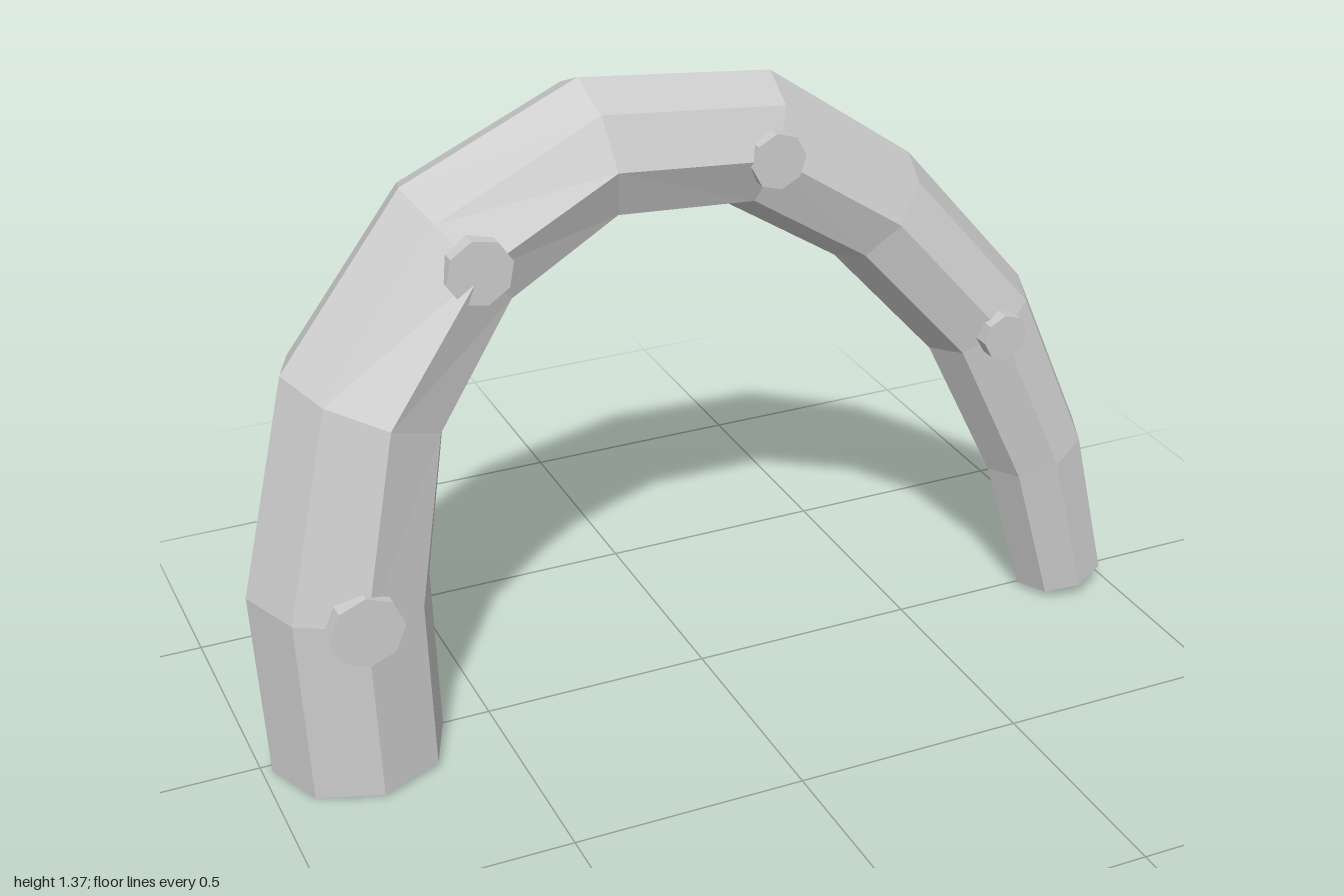
import * as THREE from 'three';

const SIDES = 8;

// Arch stations: outer x, outer y, inner x, inner y, centre z
const STATIONS = [
  [-0.98, 0.0, -0.61, 0.018, 0.022],
  [-1.0, 0.42, -0.62, 0.39, 0.02],
  [-0.89, 0.88, -0.565, 0.735, 0.0],
  [-0.62, 1.21, -0.41, 0.955, -0.037],
  [-0.24, 1.37, -0.195, 1.07, -0.06],
  [0.185, 1.32, 0.09, 1.045, -0.075],
  [0.5, 1.1, 0.33, 0.895, -0.052],
  [0.765, 0.785, 0.55, 0.65, -0.013],
  [0.915, 0.415, 0.7, 0.33, 0.015],
  [0.995, 0.06, 0.795, 0.012, 0.022],
];

// Studs on the front ridge: x, y, front z, radius, turn
const STUDS = [
  [-0.81, 0.402, 0.215, 0.078, 0],
  [-0.52, 1.08, 0.132, 0.07, 0.2],
  [0.135, 1.182, 0.077, 0.06, 0.1],
  [0.655, 0.715, 0.13, 0.052, 0.1],
];

// Tapered octagonal tube swept through the stations, closed at both ends
function archGeometry() {
  const centres = [];
  const rings = STATIONS.map(([ox, oy, ix, iy, cz]) => {
    const c = new THREE.Vector3((ox + ix) / 2, (oy + iy) / 2, cz);
    const out = new THREE.Vector3((ox - ix) / 2, (oy - iy) / 2, 0);
    const r = out.length();
    centres.push(c);
    return Array.from({ length: SIDES }, (_, j) => {
      const a = (j / SIDES) * Math.PI * 2;
      const p = c.clone().addScaledVector(out, Math.cos(a));
      p.z += r * Math.sin(a);
      return p;
    });
  });
  const pos = [];
  const tri = (...pts) => pts.forEach((p) => pos.push(p.x, p.y, p.z));
  const last = rings.length - 1;
  for (let j = 0; j < SIDES; j++) {
    const k = (j + 1) % SIDES;
    for (let i = 0; i < last; i++) {
      tri(rings[i][j], rings[i][k], rings[i + 1][k]);
      tri(rings[i][j], rings[i + 1][k], rings[i + 1][j]);
    }
    tri(centres[0], rings[0][k], rings[0][j]);
    tri(centres[last], rings[last][j], rings[last][k]);
  }
  const g = new THREE.BufferGeometry();
  g.setAttribute('position', new THREE.Float32BufferAttribute(pos, 3));
  g.computeVertexNormals();
  return g;
}

export function createModel() {
  const group = new THREE.Group();
  group.name = 'archedTentacle';
  const grey = new THREE.MeshStandardMaterial({ color: 0xcccccc, flatShading: true });
  grey.name = 'lightGrey';

  const arch = new THREE.Mesh(archGeometry(), grey);
  arch.name = 'arch';
  group.add(arch);

  // Small octagonal discs facing forward
  const depth = 0.04;
  STUDS.forEach(([x, y, z, r, turn], i) => {
    const geo = new THREE.CylinderGeometry(r, r, depth, SIDES);
    geo.rotateX(Math.PI / 2);
    geo.rotateZ(turn);
    const stud = new THREE.Mesh(geo, grey);
    stud.name = `stud${i + 1}`;
    stud.position.set(x, y, z - depth / 2);
    group.add(stud);
  });
  return group;
}
